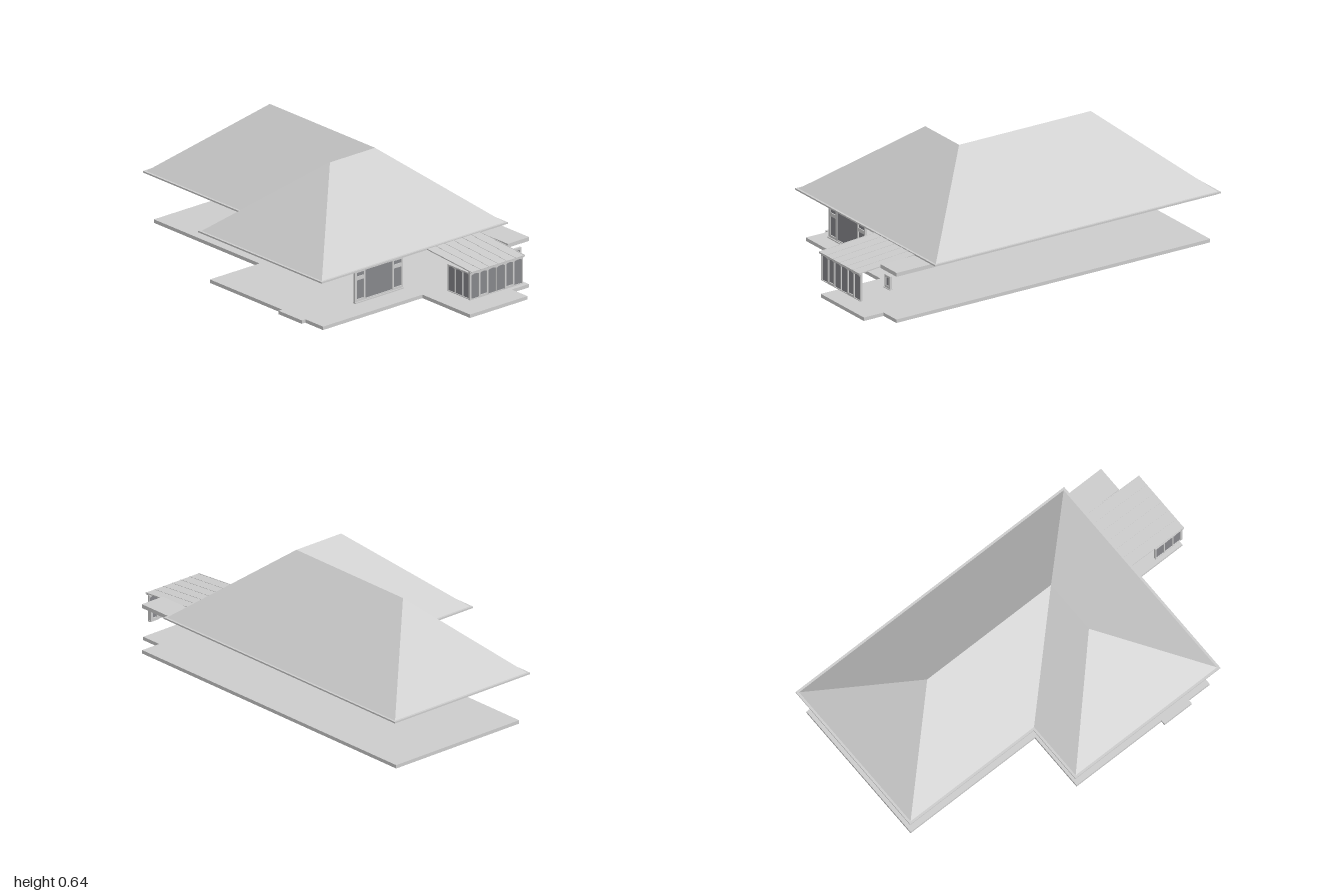
import * as THREE from 'three';

const grey = new THREE.MeshStandardMaterial({ color: 0xcccccc, flatShading: true, side: THREE.DoubleSide });
const glass = new THREE.MeshStandardMaterial({ color: 0x85868a, side: THREE.DoubleSide });

function add(parent, name, geometry, material = grey) {
  const mesh = new THREE.Mesh(geometry, material);
  mesh.name = name;
  parent.add(mesh);
  return mesh;
}

// Box given by its lower and upper corners
function box(parent, name, [x0, y0, z0], [x1, y1, z1], material) {
  const mesh = add(parent, name, new THREE.BoxGeometry(x1 - x0, y1 - y0, z1 - z0), material);
  mesh.position.set((x0 + x1) / 2, (y0 + y1) / 2, (z0 + z1) / 2);
  return mesh;
}

// Flat plate: an outline in x, z extruded upwards from y0 to y1
function plate(parent, name, outline, y0, y1) {
  const shape = new THREE.Shape(outline.map(([x, z]) => new THREE.Vector2(x, -z)));
  const geometry = new THREE.ExtrudeGeometry(shape, { depth: y1 - y0, bevelEnabled: false });
  geometry.rotateX(-Math.PI / 2).translate(0, y0, 0);
  return add(parent, name, geometry);
}

// Opening with an optional shallow arch on top
function opening(Type, [x0, y0, x1, y1, arch = 0]) {
  const s = new Type();
  s.moveTo(x0, y0);
  s.lineTo(x1, y0);
  s.lineTo(x1, y1 - arch);
  s.quadraticCurveTo((x0 + x1) / 2, y1 + arch, x0, y1 - arch);
  s.closePath();
  return s;
}

// Window in the xy plane: frame pierced by its panes, glass set back inside
function makeWindow(parent, name, frame, panes, depth = 0.012) {
  const group = new THREE.Group();
  group.name = name;
  const shape = opening(THREE.Shape, frame);
  shape.holes = panes.map((p) => opening(THREE.Path, p));
  add(group, 'windowFrame', new THREE.ExtrudeGeometry(shape, { depth, bevelEnabled: false, curveSegments: 6 }));
  panes.forEach((p) => {
    const pane = add(group, 'windowPane', new THREE.ShapeGeometry(opening(THREE.Shape, p), 6), glass);
    pane.position.z = depth * 0.6;
  });
  parent.add(group);
  return group;
}

// L-shaped outline of the main eaves, shrunk inwards by d
const eaves = (d) => [
  [-0.6 + d, 0.675 - d], [0.6 - d, 0.675 - d], [0.6 - d, -1 + d],
  [-0.28 + d, -1 + d], [-0.28 + d, -0.23 + d], [-0.6 + d, -0.23 + d],
];

// Hipped roof: six planes rising from the eaves to an L-shaped ridge
function hippedRoof() {
  const low = eaves(0.012).map(([x, z]) => [x, 0.27, z]);
  const [a, b, c, d, e, f] = low;
  const p = [-0.148, 0.642, 0.222], q = [0.143, 0.642, 0.222], r = [0.143, 0.642, -0.55];
  const planes = [[a, b, q, p], [b, c, r, q], [c, d, r], [d, e, q, r], [e, f, p, q], [f, a, p]];
  const points = [];
  for (const plane of planes) {
    for (let i = 1; i < plane.length - 1; i++) points.push(...plane[0], ...plane[i], ...plane[i + 1]);
  }
  const geometry = new THREE.BufferGeometry();
  geometry.setAttribute('position', new THREE.Float32BufferAttribute(points, 3));
  geometry.computeVertexNormals();
  return geometry;
}

export function createModel() {
  const house = new THREE.Group();
  house.name = 'house';

  // Floor slab with the front extension and a small side projection
  plate(house, 'floorSlab', [
    [-0.56, 0.64], [0.08, 0.64], [0.08, 0.99], [0.45, 0.99], [0.45, 0.875], [0.56, 0.875],
    [0.56, -0.965], [-0.24, -0.965], [-0.24, -0.19], [-0.56, -0.19],
    [-0.56, 0.34], [-0.583, 0.34], [-0.583, 0.51], [-0.56, 0.51],
  ], 0, 0.018);

  // Main roof
  plate(house, 'soffit', eaves(0.012), 0.255, 0.262);
  plate(house, 'gutter', eaves(0), 0.262, 0.27);
  add(house, 'hippedRoof', hippedRoof());

  // Flat roof beside the sunroom
  box(house, 'flatRoof', [0.425, 0.242, 0.64], [0.562, 0.262, 0.875]);

  // Sunroom lean-to roof with raised glazing bars
  const leanTo = new THREE.Group();
  leanTo.name = 'sunroomRoof';
  const length = 0.36, panels = 6, x0 = 0.08, x1 = 0.425;
  box(leanTo, 'roofSheet', [x0, -0.004, -length], [x1, 0, 0]);
  for (let i = 0; i <= panels; i++) {
    const x = THREE.MathUtils.lerp(x0 + 0.002, x1 - 0.002, i / panels);
    box(leanTo, 'glazingBar', [x - 0.002, 0, -length], [x + 0.002, 0.0015, 0]);
  }
  leanTo.position.set(0, 0.241, 1);
  leanTo.rotation.x = 0.075;
  house.add(leanTo);
  box(house, 'sunroomGutter', [0.077, 0.231, 0.983], [0.423, 0.24, 0.998]);

  // Sunroom front and side glazing, arched panes
  const frontPanes = [];
  for (let i = 0; i < panels; i++) {
    const x = 0.088 + i * 0.0555;
    const sash = i === 1 || i === 4;
    const inset = sash ? 0.004 : 0;
    frontPanes.push([x + inset, sash ? 0.103 : 0.095, x + 0.0505 - inset, 0.224, 0.006]);
  }
  makeWindow(house, 'sunroomFront', [0.08, 0.091, 0.42, 0.232], frontPanes).position.z = 0.978;

  const sidePanes = [0, 1, 2].map((i) => [0.005 + i * 0.054, 0.097, 0.053 + i * 0.054, 0.226, 0.006]);
  const side = makeWindow(house, 'sunroomSide', [0, 0.093, 0.165, 0.232], sidePanes);
  side.rotation.y = -Math.PI / 2;
  side.position.set(0.092, 0, 0.823);

  // Large front window: centre pane flanked by sashes with top lights
  const bigPanes = [[-0.289, 0.097, -0.116, 0.248]];
  for (const [l, r] of [[-0.345, -0.3], [-0.105, -0.057]]) {
    bigPanes.push([l, 0.104, r, 0.203], [l, 0.222, r, 0.242]);
  }
  makeWindow(house, 'frontWindow', [-0.358, 0.09, -0.048, 0.256], bigPanes).position.z = 0.632;
  box(house, 'windowSill', [-0.36, 0.086, 0.632], [-0.046, 0.092, 0.65]);

  // Small window under the flat roof
  makeWindow(house, 'smallWindow', [0.462, 0.158, 0.51, 0.224], [[0.473, 0.171, 0.499, 0.213]]).position.z = 0.866;
  box(house, 'smallSill', [0.46, 0.155, 0.866], [0.512, 0.159, 0.882]);

  return house;
}
